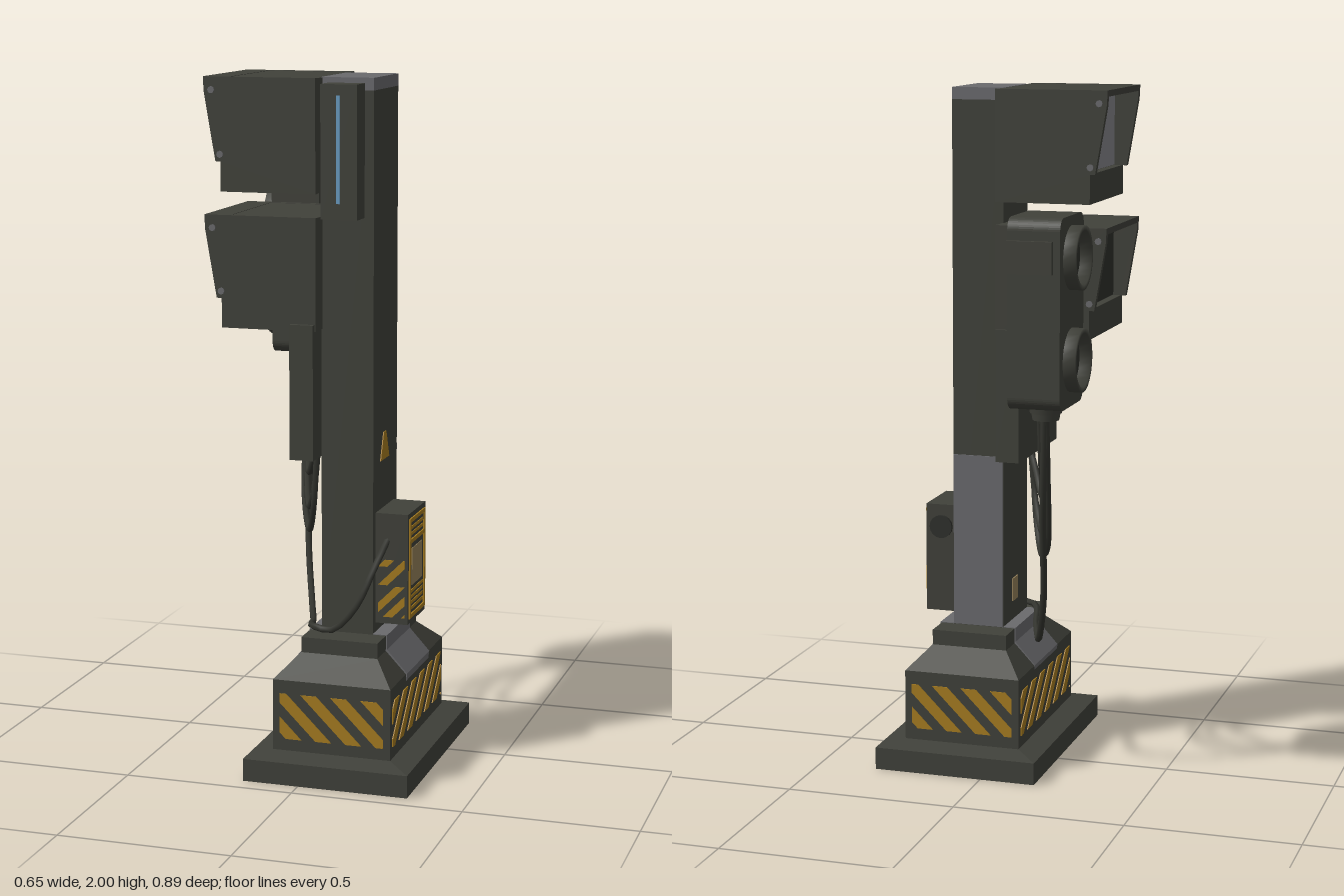
import * as THREE from 'three';

const mat = (name, color, side = THREE.FrontSide) =>
  Object.assign(new THREE.MeshStandardMaterial({ color, side }), { name });

export function createModel() {
  const model = new THREE.Group();
  model.name = 'signalPost';
  const body = mat('dark olive metal', 0x40413a, THREE.DoubleSide);
  const dark = mat('dark glass', 0x2e2f2b);
  const grey = mat('bare grey metal', 0x6a6a6d);
  const screenGrey = mat('pale screen', 0x85858a);
  const yellow = mat('warning yellow', 0xa67c20);
  const tan = mat('tan label', 0x95815a);
  const blue = mat('blue light', 0x6a9cc2);
  const rubber = mat('cable rubber', 0x34352f);

  const add = (name, geometry, material, parent = model) => {
    const m = new THREE.Mesh(geometry, material);
    m.name = name;
    parent.add(m);
    return m;
  };
  const box = (name, material, x0, x1, y0, y1, z0, z1, parent) => {
    const m = add(name, new THREE.BoxGeometry(x1 - x0, y1 - y0, z1 - z0), material, parent);
    m.position.set((x0 + x1) / 2, (y0 + y1) / 2, (z0 + z1) / 2);
    return m;
  };
  const shapeOf = pts => new THREE.Shape(pts.map(p => new THREE.Vector2(...p)));
  // extrudes an x,y outline from z0 to z1
  const slab = (name, material, pts, z0, z1, parent) => {
    const g = new THREE.ExtrudeGeometry(shapeOf(pts), { depth: z1 - z0, bevelEnabled: false });
    return add(name, g.translate(0, 0, z0), material, parent);
  };
  // flat-sided shell through rectangular rings [x0, x1, z0, z1, y]
  const rectLoft = rings => {
    const corners = ([x0, x1, z0, z1, y]) => [[x0, y, z0], [x0, y, z1], [x1, y, z1], [x1, y, z0]];
    const pos = [];
    for (let i = 0; i < rings.length - 1; i++) {
      const lo = corners(rings[i]), hi = corners(rings[i + 1]);
      for (let k = 0; k < 4; k++) {
        const n = (k + 1) % 4;
        pos.push(...lo[k], ...lo[n], ...hi[n], ...lo[k], ...hi[n], ...hi[k]);
      }
    }
    const g = new THREE.BufferGeometry();
    g.setAttribute('position', new THREE.Float32BufferAttribute(pos, 3));
    g.computeVertexNormals();
    return g;
  };

  // hollow stepped base, open underneath
  add('base', rectLoft([
    [-0.097, 0.255, -0.185, 0.375, 0],
    [-0.165, 0.325, -0.255, 0.445, 0],
    [-0.165, 0.325, -0.255, 0.445, 0.066],
    [-0.097, 0.255, -0.185, 0.375, 0.08],
    [-0.097, 0.255, -0.185, 0.375, 0.29],
    [-0.035, 0.194, -0.11, 0.3, 0.355],
    [-0.035, 0.194, -0.11, 0.3, 0.4],
    [0, 0.155, -0.025, 0.215, 0.4],
  ]), body);

  // hazard stripes, clipped to a rectangle; they show through to the inside
  const stripes = (width, height, dir, period, thick, parent) => {
    const w = period * 0.52, half = width / 2;
    const clamp = u => Math.min(half, Math.max(-half, u));
    for (let b = -half - height + 0.02; b < half; b += period) {
      const vs = [0, height, -half - b, -half - b - w, half - b, half - b - w]
        .filter(v => v >= 0 && v <= height && b + w + v >= -half && b + v <= half)
        .sort((p, q) => p - q);
      if (vs.length < 2) continue;
      const pts = [
        ...vs.map(v => [dir * clamp(b + w + v), v]),
        ...vs.reverse().map(v => [dir * clamp(b + v), v]),
      ];
      slab('hazardStripe', yellow, pts, -thick / 2, thick / 2, parent);
    }
  };
  const sides = [
    [0.079, 0.375, 0, 0.31, -1], [0.255, 0.095, Math.PI / 2, 0.52, 1],
    [0.079, -0.185, Math.PI, 0.31, -1], [-0.097, 0.095, -Math.PI / 2, 0.52, 1],
  ];
  for (const [x, z, turn, width, dir] of sides) {
    const g = new THREE.Group();
    g.name = 'baseStripes';
    g.position.set(x, 0.115, z);
    g.rotation.y = turn;
    stripes(width, 0.135, dir, 0.09, 0.006, g);
    model.add(g);
  }

  // grey straps folded over both flanks of the base
  for (const s of [1, -1]) {
    const strap = [[0.176, 0.27], [0.179, 0.292], [0.118, 0.359], [0.118, 0.402], [0.075, 0.402],
      [0.075, 0.399], [0.114, 0.399], [0.114, 0.355], [0.175, 0.29], [0.175, 0.27]];
    slab('baseStrap', grey, strap.map(([x, y]) => [0.08 + s * x, y]), -0.025, 0.215);
  }

  // column
  box('column', body, 0, 0.155, 0.39, 1.965, -0.025, 0.215);
  box('columnCap', grey, 0, 0.155, 1.965, 2, -0.025, 0.215);
  box('rearCover', grey, 0.001, 0.154, 0.402, 0.92, -0.029, -0.024);
  box('columnLabel', tan, -0.004, 0.001, 0.46, 0.53, 0.06, 0.11);
  const tri = slab('warningTriangle', yellow, [[-0.043, 0.9], [0.043, 0.9], [0.012, 0.98], [-0.012, 0.98]], 0, 0.004);
  tri.rotation.y = Math.PI / 2;
  tri.position.set(0.154, 0, 0.105);
  box('sideChannel', body, -0.07, 0, 0.92, 1.31, -0.1, 0.295);

  // front light bar
  box('lightHousing', body, 0.022, 0.128, 1.61, 1.985, 0.215, 0.29);
  box('lightStrip', blue, 0.069, 0.079, 1.655, 1.955, 0.288, 0.294);

  // two hooded display heads
  const head = (name, y, screenMat) => {
    const g = new THREE.Group();
    g.name = name;
    g.position.y = y;
    model.add(g);
    const side = [[0.004, 0], [0.004, 0.322], [-0.327, 0.322], [-0.325, 0.28], [-0.292, 0.085], [-0.277, 0.085], [-0.277, 0]];
    slab('headSide', body, side, -0.09, -0.072, g);
    slab('headSide', body, side, 0.262, 0.28, g);
    box('headCore', body, -0.25, 0.004, 0.001, 0.321, -0.072, 0.262, g);
    slab('hoodTop', body, [[-0.25, 0.322], [-0.327, 0.322], [-0.326, 0.304], [-0.25, 0.304]], -0.072, 0.262, g);
    box('headSill', body, -0.277, -0.25, 0, 0.085, -0.072, 0.262, g);
    box('screen', screenMat, -0.255, -0.249, 0.087, 0.302, -0.07, 0.26, g);
    for (const [bx, by] of [[-0.303, 0.285], [-0.278, 0.105]])
      for (const z of [-0.091, 0.281]) {
        const bolt = add('headBolt', new THREE.CylinderGeometry(0.01, 0.01, 0.006, 8), grey, g);
        bolt.rotation.x = Math.PI / 2;
        bolt.position.set(bx, by, z);
      }
  };
  head('upperHead', 1.678, screenGrey);
  head('lowerHead', 1.29, dark);

  // side signal box with rounded outline, held by two arms
  const r = 0.035, outline = new THREE.Shape();
  outline.moveTo(0.197 + r, 1.14).lineTo(0.434 - r, 1.14).absarc(0.434 - r, 1.14 + r, r, -Math.PI / 2, 0)
    .absarc(0.434 - r, 1.672 - r, r, 0, Math.PI / 2).absarc(0.197 + r, 1.672 - r, r, Math.PI / 2, Math.PI)
    .absarc(0.197 + r, 1.14 + r, r, Math.PI, Math.PI * 1.5);
  const shell = new THREE.ExtrudeGeometry(outline, { depth: 0.15, bevelEnabled: false, curveSegments: 5 });
  add('signalBox', shell.rotateY(Math.PI / 2).translate(-0.29, 0, 0), body);
  box('signalBackPlate', body, -0.27, -0.14, 1.52, 1.61, -0.448, -0.43);
  box('signalLabel', tan, -0.142, -0.136, 1.172, 1.285, -0.365, -0.225);
  for (const y of [1.345, 1.5]) box('signalArm', body, -0.22, -0.185, y - 0.02, y + 0.02, -0.2, -0.085);
  for (const y of [1.27, 1.555]) {
    const profile = [[0.09, 0], [0.09, 0.036], [0.076, 0.036], [0.07, 0.004]].map(p => new THREE.Vector2(...p));
    const hood = add('lensHood', new THREE.LatheGeometry(profile, 24), body);
    const lens = add('lens', new THREE.CylinderGeometry(0.072, 0.072, 0.008, 24), dark);
    for (const m of [hood, lens]) {
      m.rotation.z = Math.PI / 2;
      m.position.set(-0.289, y, -0.315);
    }
  }
  [[0.05, 1.128], [0.042, 1.108]].forEach(([rad, y]) => {
    const gland = add('cableGland', new THREE.CylinderGeometry(rad, rad * 0.9, 0.024, 16), body);
    gland.position.set(-0.215, y, -0.31);
  });

  // cables
  const cable = (name, pts) => add(name, new THREE.TubeGeometry(
    new THREE.CatmullRomCurve3(pts.map(p => new THREE.Vector3(...p))), 40, 0.01, 6), rubber);
  [0.815, 0.71, 0.64].forEach((low, i) => {
    const d = i * 0.012;
    cable('hangingCable', [
      [-0.195 - d, 1.1, -0.3 - d], [-0.19 - d, 0.97 - d, -0.27 - d], [-0.16 - d, low + 0.07, -0.16 - d],
      [-0.115, low, -0.02], [-0.075, low + 0.08, 0.04 + d], [-0.055, 0.935, 0.06 + d],
    ]);
  });
  cable('powerCable', [
    [-0.215, 1.1, -0.325], [-0.2, 0.82, -0.29], [-0.18, 0.56, -0.21], [-0.13, 0.395, -0.09], [-0.07, 0.39, 0.08],
    [-0.025, 0.412, 0.22], [0.05, 0.42, 0.26], [0.125, 0.5, 0.28], [0.17, 0.61, 0.25], [0.19, 0.68, 0.18],
  ]);

  // control box on the column flank
  box('controlBox', body, 0.155, 0.252, 0.43, 0.757, 0.005, 0.19);
  const frame = shapeOf([[-0.18, 0.445], [-0.015, 0.445], [-0.015, 0.742], [-0.18, 0.742]]);
  frame.holes.push(shapeOf([[-0.168, 0.457], [-0.027, 0.457], [-0.027, 0.668], [-0.168, 0.668]]));
  frame.holes.push(shapeOf([[-0.168, 0.68], [-0.027, 0.68], [-0.027, 0.73], [-0.168, 0.73]]));
  const frameGeo = new THREE.ExtrudeGeometry(frame, { depth: 0.005, bevelEnabled: false });
  add('controlFrame', frameGeo.rotateY(Math.PI / 2).translate(0.251, 0, 0), yellow);
  box('controlNotice', tan, 0.25, 0.254, 0.54, 0.65, 0.045, 0.15);
  for (let i = 0; i < 4; i++) box('controlLine', yellow, 0.25, 0.254, 0.468 + i * 0.017, 0.477 + i * 0.017, 0.035, 0.16);
  for (let i = 0; i < 2; i++) box('controlLine', yellow, 0.25, 0.254, 0.69 + i * 0.018, 0.699 + i * 0.018, 0.035, 0.16);
  const panel = new THREE.Group();
  panel.name = 'controlStripes';
  panel.position.set(0.203, 0.45, 0.19);
  stripes(0.08, 0.17, 1, 0.055, 0.006, panel);
  model.add(panel);
  const knob = add('controlKnob', new THREE.CylinderGeometry(0.035, 0.035, 0.014, 16), dark);
  knob.rotation.x = Math.PI / 2;
  knob.position.set(0.204, 0.69, 0.003);

  return model;
}
